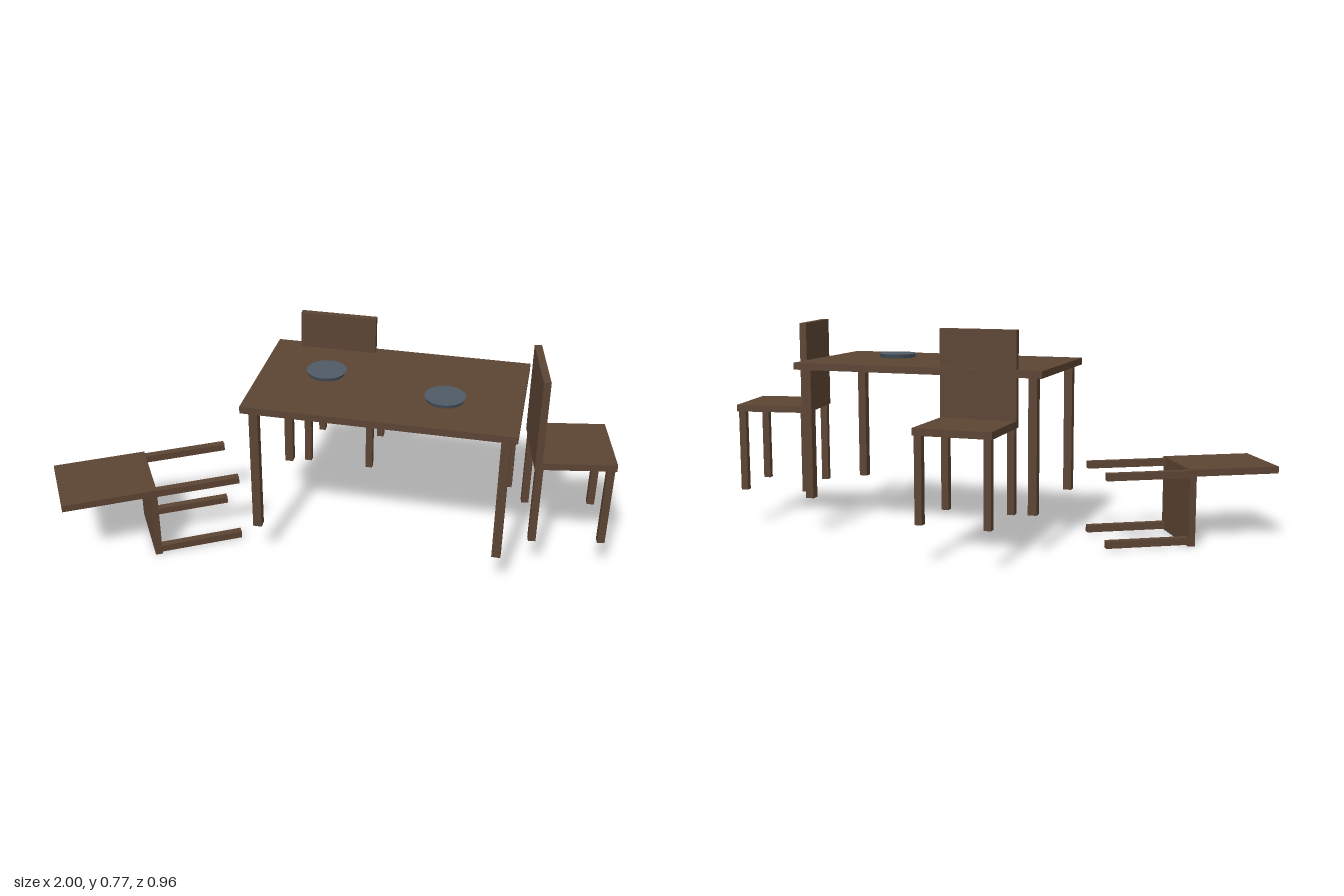
import * as THREE from 'three';

const wood = new THREE.MeshStandardMaterial({ color: 0x5c4433 });
wood.name = 'brown wood';
const ceramic = new THREE.MeshStandardMaterial({ color: 0x4f5a66 });
ceramic.name = 'slate blue ceramic';

function box(parent, name, [w, h, d], [x, y, z]) {
  const mesh = new THREE.Mesh(new THREE.BoxGeometry(w, h, d), wood);
  mesh.name = name;
  mesh.position.set(x, y, z);
  parent.add(mesh);
}

// Four square legs standing on the group's y = 0
function legs(parent, name, size, height, dx, dz) {
  for (const sx of [-1, 1]) {
    for (const sz of [-1, 1]) {
      box(parent, name, [size, height, size], [sx * dx, height / 2, sz * dz]);
    }
  }
}

// Chair with its backrest on +z, origin at floor centre
function makeChair(name) {
  const chair = new THREE.Group();
  chair.name = name;
  const width = 0.277, thick = 0.025, legHeight = 0.3, height = 0.633;
  legs(chair, 'chairLeg', 0.026, legHeight, 0.1205, 0.1205);
  box(chair, 'seat', [width, thick, width - thick], [0, legHeight + thick / 2, -thick / 2]);
  box(chair, 'backrest', [width, height - legHeight, thick],
    [0, (height + legHeight) / 2, (width - thick) / 2]);
  return chair;
}

export function createModel() {
  const model = new THREE.Group();
  model.name = 'diningSet';
  const floor = 0.141;

  // Table
  const table = new THREE.Group();
  table.name = 'table';
  table.position.set(0.203, floor, 0.0225);
  legs(table, 'tableLeg', 0.031, 0.474, 0.426, 0.2265);
  box(table, 'tabletop', [0.93, 0.025, 0.531], [0, 0.4865, 0]);
  model.add(table);

  // Plates, slightly narrower at the base
  for (const [x, z] of [[-0.03, -0.013], [0.404, 0.087]]) {
    const plate = new THREE.Mesh(new THREE.CylinderGeometry(0.071, 0.064, 0.015, 24), ceramic);
    plate.name = 'plate';
    plate.position.set(x, 0.6475, z);
    model.add(plate);
  }

  // Upright chairs
  const backChair = makeChair('backChair');
  backChair.position.set(-0.03, floor, -0.3435);
  const sideChair = makeChair('sideChair');
  sideChair.position.set(0.839, floor, -0.011);
  sideChair.rotation.y = THREE.MathUtils.degToRad(-80);

  // Chair tipped over, seat vertical and backrest uppermost
  const fallenChair = makeChair('fallenChair');
  fallenChair.position.set(-0.383, 0.1385, 0.0465);
  fallenChair.rotation.set(-Math.PI / 2, THREE.MathUtils.degToRad(120), 0, 'YXZ');

  model.add(backChair, sideChair, fallenChair);
  return model;
}
